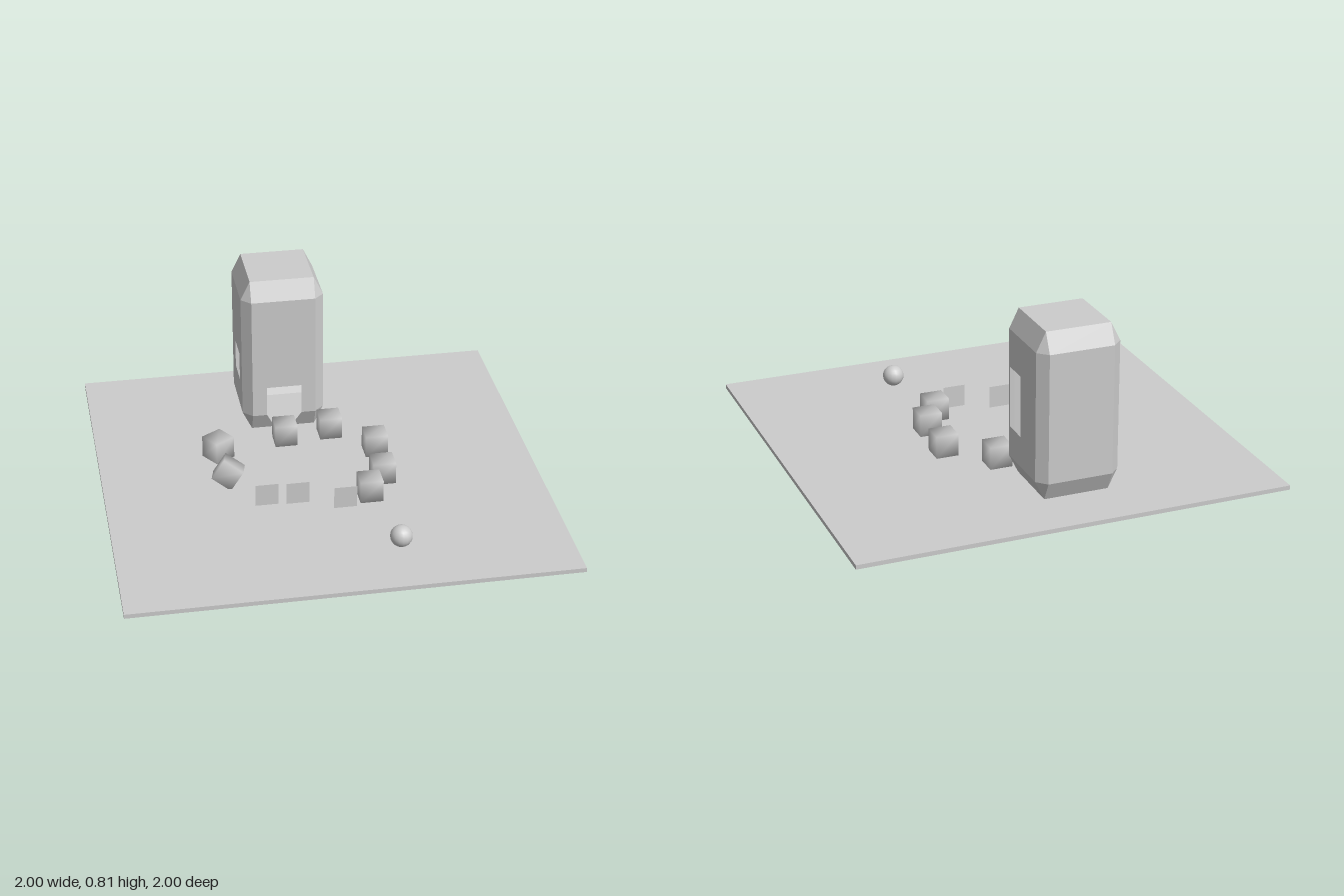
import * as THREE from 'three';
import { mergeVertices } from 'three/addons/utils/BufferGeometryUtils.js';

const smooth = new THREE.MeshStandardMaterial({ color: 0xcccccc });
const flat = new THREE.MeshStandardMaterial({ color: 0xcccccc, flatShading: true, side: THREE.DoubleSide });

const FLOOR = 0.03;   // top of the ground slab
const SIZE = 0.105;   // crate edge

function add(parent, name, geometry, material, x = 0, y = 0, z = 0) {
  const mesh = new THREE.Mesh(geometry, material);
  mesh.name = name;
  mesh.position.set(x, y, z);
  parent.add(mesh);
  return mesh;
}

// Flat convex polygon from corners listed counter-clockwise
function polygon(...corners) {
  const g = new THREE.BufferGeometry().setFromPoints(corners.map(c => new THREE.Vector3(...c)));
  const index = [];
  for (let i = 1; i < corners.length - 1; i++) index.push(0, i, i + 1);
  g.setIndex(index);
  g.computeVertexNormals();
  return g;
}

function outline(points) {
  return points.map(([x, y]) => new THREE.Vector2(x, y));
}

// Hollow tower with chamfered edges, a doorway and two windows
function createTower() {
  const tower = new THREE.Group();
  tower.name = 'tower';
  const a = 0.15, b = 0.194;                        // inner and outer half widths
  const y0 = FLOOR, y1 = 0.12, y2 = 0.72, y3 = 0.81;
  const door = 0.083, sill = 0.042, doorTop = 0.267;
  // Window per side: [left, right, bottom, top]
  const windows = { 1: [-0.14, -0.017, 0.262, 0.545], 3: [-0.06, 0.077, 0.262, 0.40] };

  for (let k = 0; k < 4; k++) {
    const side = new THREE.Group();
    side.name = ['frontWall', 'leftWall', 'backWall', 'rightWall'][k];
    side.rotation.y = k * Math.PI / 2;
    tower.add(side);

    // Wall panel, with the doorway notched into the front one
    const notch = k === 0 ? [[-door, y1], [-door, doorTop], [door, doorTop], [door, y1]] : [];
    const shape = new THREE.Shape(outline([[-a, y1], ...notch, [a, y1], [a, y2], [-a, y2]]));
    if (windows[k]) {
      const [l, r, lo, hi] = windows[k];
      shape.holes.push(new THREE.Path(outline([[l, lo], [l, hi], [r, hi], [r, lo]])));
    }
    add(side, 'wallPanel', new THREE.ShapeGeometry(shape), flat, 0, 0, b);

    // Chamfers along the roof, the vertical edge and the foot
    add(side, 'roofChamfer', polygon([-a, y2, b], [a, y2, b], [a, y3, a], [-a, y3, a]), flat);
    add(side, 'edgeChamfer', polygon([a, y1, b], [b, y1, a], [b, y2, a], [a, y2, b]), flat);
    add(side, 'upperCorner', polygon([a, y2, b], [b, y2, a], [a, y3, a]), flat);
    add(side, 'lowerCorner', polygon([a, y1, b], [a, y0, a], [b, y1, a]), flat);
    if (k === 0) {
      add(side, 'footChamfer', polygon([-a, y0, a], [-sill, y0, a], [-door, y1, b], [-a, y1, b]), flat);
      add(side, 'footChamfer', polygon([sill, y0, a], [a, y0, a], [a, y1, b], [door, y1, b]), flat);
    } else {
      add(side, 'footChamfer', polygon([-a, y0, a], [a, y0, a], [a, y1, b], [-a, y1, b]), flat);
    }
  }
  add(tower, 'roof', polygon([-a, y3, a], [a, y3, a], [a, y3, -a], [-a, y3, -a]), flat);
  tower.position.set(-0.097, 0, -0.577);
  return tower;
}

// Cube with shared corners, so its shading is smooth
function crateGeometry() {
  const box = new THREE.BoxGeometry(SIZE, SIZE, SIZE);
  box.deleteAttribute('normal');
  box.deleteAttribute('uv');
  const g = mergeVertices(box);
  g.computeVertexNormals();
  return g;
}

export function createModel() {
  const model = new THREE.Group();
  model.name = 'courtyard';

  // Ground slab with a thin rectangular patch
  add(model, 'ground', new THREE.BoxGeometry(2, 0.02, 2), flat, 0, FLOOR - 0.01, 0);
  const patch = add(model, 'groundPatch', new THREE.PlaneGeometry(0.28, 0.375), flat, 0.737, FLOOR + 0.001, 0.167);
  patch.rotation.x = -Math.PI / 2;

  model.add(createTower());

  // Ring of crates: x, z, y and rotation
  const crate = crateGeometry();
  const rest = FLOOR + SIZE / 2;
  const crates = [
    [-0.111, -0.284], [0.108, -0.316], [0.29, -0.12], [0.277, 0.127], [0.19, 0.268],
    [-0.44, -0.197, rest, 0, 0.57, 0],
    [-0.425, 0.035, 0.083, -0.2, -0.2, -0.62],
  ];
  for (const [x, z, y = rest, rx = 0, ry = 0, rz = 0] of crates) {
    add(model, 'crate', crate, smooth, x, y, z).rotation.set(rx, ry, rz);
  }

  // Upright thin panels closing the ring
  const panel = new THREE.PlaneGeometry(SIZE, SIZE);
  for (const [x, z] of [[-0.28, 0.26], [-0.14, 0.268], [0.065, 0.34]]) {
    add(model, 'uprightPanel', panel, flat, x, rest, z);
  }

  // Ball in front
  add(model, 'ball', new THREE.SphereGeometry(0.05, 16, 12), smooth, 0.247, 0.082, 0.69);

  return model;
}
